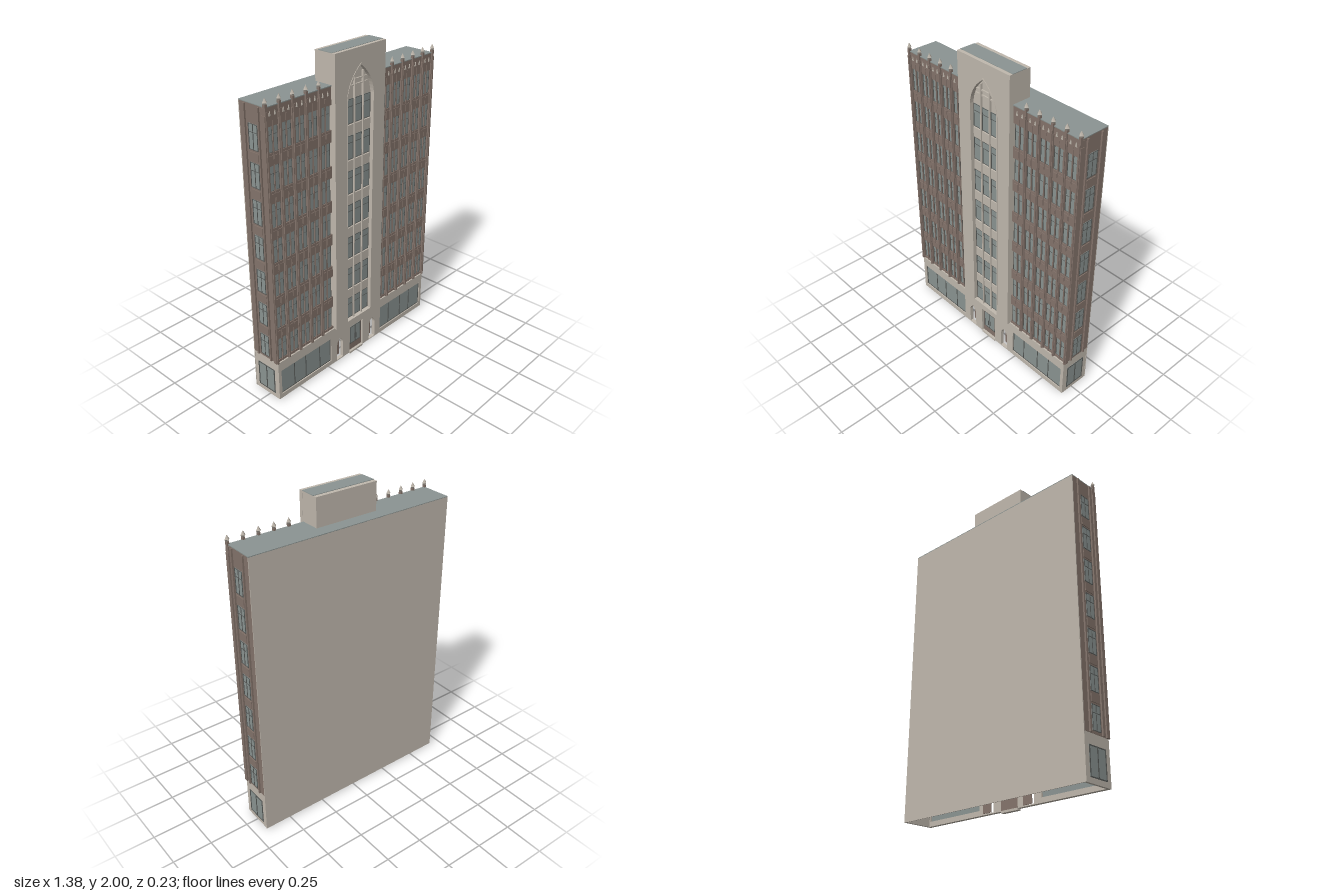
import * as THREE from 'three';

const mat = (name, color, side = THREE.FrontSide) => {
  const m = new THREE.MeshStandardMaterial({ color, side });
  m.name = name;
  return m;
};

export function createModel() {
  const stone = mat('stone', 0xc0b8ad);
  const brick = mat('brick', 0x84746b);
  const frame = mat('window frame', 0x575a58);
  const slate = mat('glass and slate', 0x8b9492, THREE.DoubleSide);

  const root = new THREE.Group();
  root.name = 'building';

  const add = (name, geo, m, parent = root) => {
    const mesh = new THREE.Mesh(geo, m);
    mesh.name = name;
    parent.add(mesh);
    return mesh;
  };
  // Box given by its limits on each axis
  const box = (name, m, x0, x1, y0, y1, z0, z1, parent = root) => {
    const mesh = add(name, new THREE.BoxGeometry(x1 - x0, y1 - y0, z1 - z0), m, parent);
    mesh.position.set((x0 + x1) / 2, (y0 + y1) / 2, (z0 + z1) / 2);
    return mesh;
  };
  const rect = (P, x0, x1, y0, y1) => {
    const p = new P();
    p.moveTo(x0, y0).lineTo(x1, y0).lineTo(x1, y1).lineTo(x0, y1).closePath();
    return p;
  };
  // Pointed arch outline
  const arch = (P, cx, hw, y0, spring, top) => {
    const p = new P();
    const k = spring + (top - spring) * 0.6;
    p.moveTo(cx - hw, y0).lineTo(cx + hw, y0).lineTo(cx + hw, spring);
    p.quadraticCurveTo(cx + hw * 0.9, k, cx, top);
    p.quadraticCurveTo(cx - hw * 0.9, k, cx - hw, spring);
    p.closePath();
    return p;
  };
  const extrude = (name, shape, m, z0, z1) => {
    const geo = new THREE.ExtrudeGeometry(shape, { depth: z1 - z0, bevelEnabled: false, curveSegments: 10 });
    return add(name, geo.translate(0, 0, z0), m);
  };
  // Window facing +z in its own group: glass, border, bars at given x and y
  const makeWindow = (name, w, h, xs = [], ys = [], t = 0.003) => {
    const g = new THREE.Group();
    g.name = name;
    box('glass', slate, -w / 2, w / 2, 0, h, 0, 0.002, g);
    for (const x of [-w / 2 + t / 2, w / 2 - t / 2, ...xs])
      box('frameUpright', frame, x - t / 2, x + t / 2, 0, h, 0.002, 0.005, g);
    for (const y of [t / 2, h - t / 2, ...ys])
      box('frameRail', frame, -w / 2, w / 2, y - t / 2, y + t / 2, 0.002, 0.004, g);
    root.add(g);
    return g;
  };

  const rows = Array.from({ length: 7 }, (_, i) => 0.286 + i * 0.2145);
  const H = 0.143, TOP = 1.825;

  // Main block, rear wall and roof
  box('mainBlock', brick, -0.677, 0.677, 0.27, 1.82, -0.11, 0.068);
  box('rearWall', stone, -0.677, 0.677, 0.01, 1.822, -0.115, -0.11);
  box('roof', slate, -0.677, 0.677, 1.82, TOP, -0.115, 0.085);

  // Horizontal brick bands between the window rows
  const bands = rows.map((y, i) => [i ? rows[i - 1] + H : 0.27, y]);
  bands.push([rows[6] + H, 1.82]);

  for (const s of [-1, 1]) {
    const sx = (a, b) => (s > 0 ? [a, b] : [-b, -a]);
    const piers = [0.203, 0.3, 0.394, 0.489, 0.582, 0.676];
    for (const [y0, y1] of bands)
      box('brickBand', brick, ...sx(0.2, 0.677), y0, y1, 0.068, 0.082);

    for (let b = 0; b < 5; b++) {
      const l = piers[b] + 0.01, r = piers[b + 1] - 0.01, c = (l + r) / 2;
      box('bayMullion', brick, s * c - 0.0025, s * c + 0.0025, 0.27, 1.76, 0.068, 0.085);
      for (const cx of [(l + c) / 2, (c + r) / 2]) {
        for (const y of rows)
          makeWindow('wingWindow', (r - l) / 2 - 0.003, H, [], [0.097], 0.002).position.set(s * cx, y, 0.073);
        // Raised spandrel panels
        for (const [y0, y1] of bands.slice(1, 7))
          box('spandrelPanel', brick, s * cx - 0.014, s * cx + 0.014, y0 + 0.015, y1 - 0.015, 0.08, 0.085);
        // Small pointed ornament under the parapet
        const tip = new THREE.Shape();
        tip.moveTo(-0.006, 0).lineTo(0.006, 0).lineTo(0, 0.026).closePath();
        extrude('parapetOrnament', tip, stone, 0.082, 0.086).position.set(s * cx, 1.772, 0);
      }
    }
    // Front piers with pinnacles
    for (const x of piers.slice(1)) {
      box('frontPier', brick, s * x - 0.01, s * x + 0.01, 0.27, 1.78, 0.066, 0.09);
      box('pierRib', brick, s * x - 0.005, s * x + 0.005, 0.27, 1.80, 0.09, 0.096);
      box('pinnacleShaft', brick, s * x - 0.007, s * x + 0.007, 1.78, 1.84, 0.074, 0.092);
      const cap = add('pinnacleCap', new THREE.CylinderGeometry(0.015, 0.008, 0.012, 4), stone);
      cap.position.set(s * x, 1.843, 0.083);
      const tip = add('pinnacleTip', new THREE.ConeGeometry(0.015, 0.026, 4), stone);
      tip.position.set(s * x, 1.862, 0.083);
    }

    // Side walls: windows, panels and piers
    for (const y of rows) {
      const w = makeWindow('sideWindow', 0.068, H, [0], [0.097]);
      w.rotation.y = s * Math.PI / 2;
      w.position.set(s * 0.677, y, -0.011);
    }
    for (const [y0, y1] of bands.slice(1, 7))
      box('sidePanel', brick, ...sx(0.677, 0.681), y0 + 0.012, y1 - 0.012, -0.045, 0.023);
    for (const z of [0.038, -0.068])
      box('sidePier', brick, ...sx(0.675, 0.687), 0.27, 1.815, z - 0.005, z + 0.005);
    box('cornerPier', brick, ...sx(0.675, 0.683), 0.27, 1.815, 0.066, 0.088);

    // Ground floor end wall with its window
    box('baseSideWall', stone, ...sx(0.66, 0.675), 0.01, 0.27, -0.11, 0.07);
    const bw = makeWindow('baseSideWindow', 0.137, 0.167, [0], [], 0.006);
    bw.rotation.y = s * Math.PI / 2;
    bw.position.set(s * 0.674, 0.04, -0.012);

    // Shop window
    const shop = makeWindow('shopWindow', 0.42, 0.167, [-0.115, 0.005, 0.1].map(x => x * s), [], 0.005);
    shop.position.set(s * 0.443, 0.04, 0.08);
    // Niche backing
    box('nicheBack', brick, s * 0.152 - 0.032, s * 0.152 + 0.032, 0.012, 0.2, 0.046, 0.05);
  }

  // Ground floor front wall, hollow behind
  const baseShape = rect(THREE.Shape, -0.675, 0.675, 0.01, 0.27);
  baseShape.holes.push(rect(THREE.Path, -0.062, 0.062, 0.013, 0.205));
  for (const s of [-1, 1]) {
    baseShape.holes.push(arch(THREE.Path, s * 0.152, 0.028, 0.016, 0.125, 0.172));
    baseShape.holes.push(rect(THREE.Path, s * 0.443 - 0.21, s * 0.443 + 0.21, 0.04, 0.207));
  }
  extrude('baseFrontWall', baseShape, stone, 0.068, 0.091);

  // Entrance
  box('doorSurround', brick, -0.062, 0.062, 0.013, 0.205, 0.066, 0.076);
  box('doorStep', stone, -0.062, 0.062, 0, 0.013, 0.066, 0.092);
  makeWindow('entranceDoors', 0.1, 0.127, [0], [], 0.004).position.set(0, 0.062, 0.076);
  for (const s of [-1, 1])
    box('doorHandle', frame, s * 0.007 - 0.0015, s * 0.007 + 0.0015, 0.09, 0.13, 0.08, 0.086);

  // Central tower with a tall pointed recess
  box('towerCore', stone, -0.204, 0.204, 0.27, 1.997, -0.035, 0.088);
  box('towerRoof', slate, -0.204, 0.204, 1.997, 2, -0.01, 0.09);
  const tower = rect(THREE.Shape, -0.205, 0.205, 0.27, 1.998);
  tower.holes.push(arch(THREE.Path, 0, 0.107, 0.28, 1.72, 1.9));
  extrude('towerFront', tower, stone, 0.088, 0.112);
  const moulding = arch(THREE.Shape, 0, 0.113, 0.28, 1.72, 1.91);
  moulding.holes.push(arch(THREE.Path, 0, 0.106, 0.281, 1.72, 1.899));
  extrude('archMoulding', moulding, stone, 0.11, 0.115);

  // Tower windows, mullions and spandrels
  for (const x of [-0.071, 0, 0.071]) {
    for (const y of rows)
      makeWindow('towerWindow', 0.064, H, [], [0.1]).position.set(x, y, 0.088);
    for (const [y0, y1] of bands.slice(1, 7))
      box('towerSpandrel', stone, x - 0.03, x + 0.03, y0 + 0.005, y1 - 0.005, 0.088, 0.096);
  }
  for (const x of [-0.0355, 0.0355])
    box('towerMullion', stone, x - 0.0035, x + 0.0035, 0.28, 1.86, 0.088, 0.102);

  // Plain rails in the arch head
  for (const y of [1.79, 1.82])
    box('archRail', stone, -0.078, 0.078, y - 0.004, y + 0.004, 0.088, 0.096);
  return root;
}
